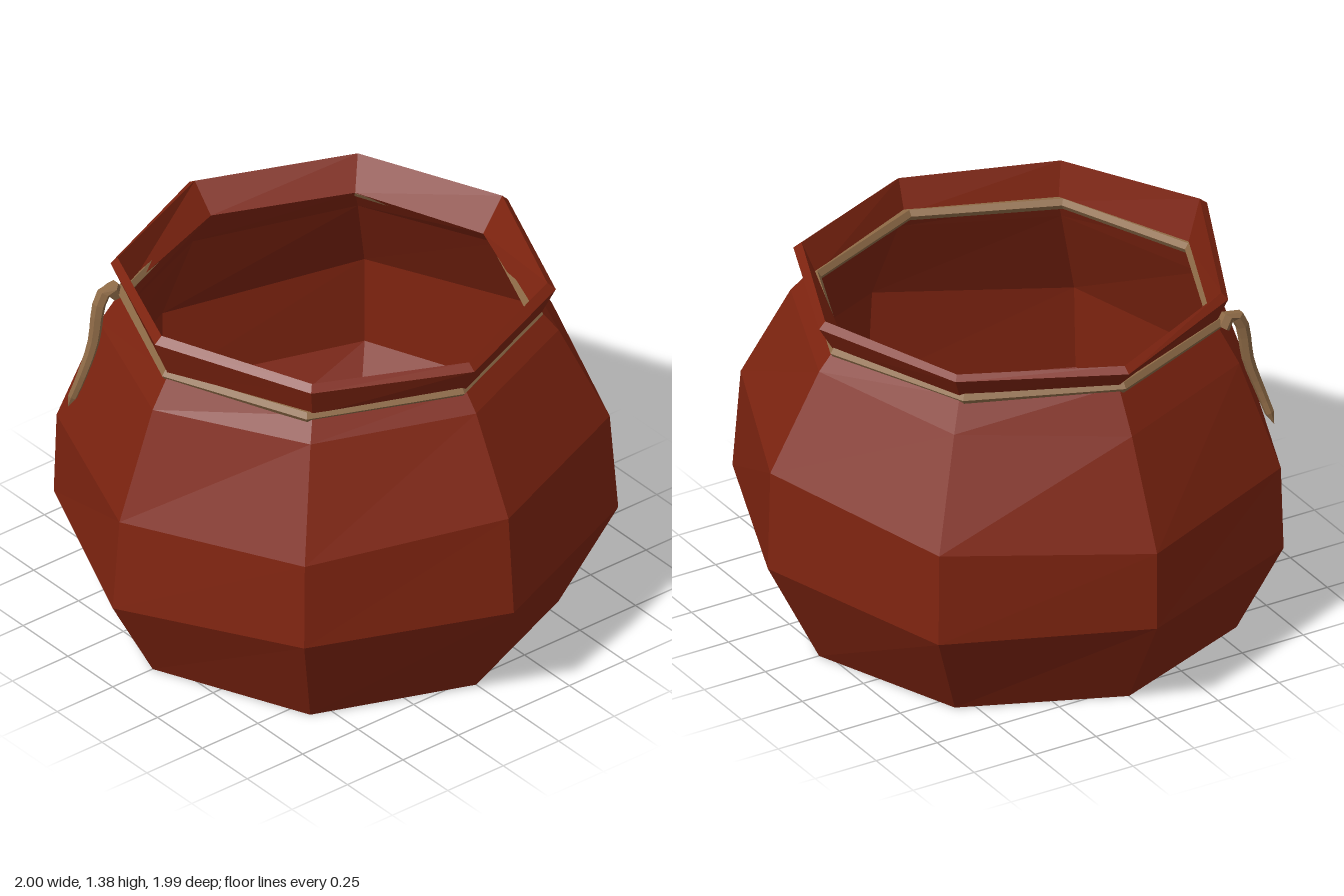
import * as THREE from 'three';

const SIDES = 8;
const clay = new THREE.MeshStandardMaterial({ color: 0x7f2410, flatShading: true });
clay.name = 'redClay';
const cord = new THREE.MeshStandardMaterial({ color: 0x8f6b47, flatShading: true });
cord.name = 'tanCord';

// One number stands for the same value at all eight corners
const fill = (v) => (Array.isArray(v) ? v : Array(SIDES).fill(v));

// Octagonal cross-section; corners run from +x through +z
function ring(radii, heights) {
  const r = fill(radii), y = fill(heights);
  return r.map((radius, k) => {
    const a = (k / SIDES) * Math.PI * 2;
    return [Math.cos(a) * radius, y[k], Math.sin(a) * radius];
  });
}

// Skin joining consecutive cross-sections
function loft(rings) {
  const index = [];
  for (let i = 0; i < rings.length - 1; i++) {
    for (let k = 0; k < SIDES; k++) {
      const n = (k + 1) % SIDES;
      const a = i * SIDES + k, b = i * SIDES + n;
      const c = a + SIDES, d = b + SIDES;
      index.push(a, c, b, b, c, d);
    }
  }
  const geo = new THREE.BufferGeometry();
  geo.setAttribute('position', new THREE.Float32BufferAttribute(rings.flat(2), 3));
  geo.setIndex(index);
  const flat = geo.toNonIndexed();
  flat.computeVertexNormals();
  return flat;
}

function addMesh(group, name, geometry, material) {
  const mesh = new THREE.Mesh(geometry, material);
  mesh.name = name;
  group.add(mesh);
}

// Pot wall: up the outside, over the lip, down the inside
function potGeometry() {
  const base = [0.79, 0.81, 0.82, 0.82, 0.81, 0.8, 0.78, 0.79];
  const lower = [1.0, 1.01, 1.0, 0.99, 1.0, 1.04, 0.99, 1.0];
  const lowerY = [0.41, 0.41, 0.33, 0.34, 0.36, 0.38, 0.41, 0.41];
  const upper = [0.97, 0.99, 0.97, 0.98, 1.0, 1.03, 0.98, 0.97];
  const upperY = [0.79, 0.74, 0.68, 0.66, 0.66, 0.73, 0.79, 0.79];
  const shoulder = [0.79, 0.8, 0.82, 0.83, 0.83, 0.81, 0.78, 0.79];
  const shoulderY = [1.14, 1.13, 1.09, 1.06, 1.05, 1.1, 1.14, 1.14];
  const neckOut = [0.73, 0.735, 0.75, 0.745, 0.74, 0.73, 0.72, 0.73];
  const lip = [0.78, 0.78, 0.81, 0.79, 0.81, 0.79, 0.78, 0.78];
  const lipY = [1.31, 1.33, 1.36, 1.31, 1.29, 1.3, 1.31, 1.31];
  const rim = [0.75, 0.755, 0.78, 0.765, 0.78, 0.77, 0.755, 0.75];
  const rimY = [1.335, 1.355, 1.385, 1.335, 1.31, 1.32, 1.335, 1.335];
  const neckIn = [0.71, 0.72, 0.73, 0.725, 0.69, 0.685, 0.67, 0.695];
  const inset = (radii) => radii.map((r) => r - 0.04);
  return loft([
    ring(0, 0), ring(base, 0), ring(lower, lowerY), ring(upper, upperY),
    ring(shoulder, shoulderY), ring(neckOut, 1.21), ring(lip, lipY), ring(rim, rimY),
    ring(neckIn, 1.21), ring(inset(shoulder), shoulderY), ring(inset(upper), upperY),
    ring(inset(lower), lowerY), ring(inset(base), 0.04), ring(0, 0.04),
  ]);
}

// Six-sided cord lying round the neck
function neckCordGeometry() {
  const rings = [];
  for (let j = 0; j <= 6; j++) {
    const a = (j / 6) * Math.PI * 2;
    rings.push(ring(0.726 + Math.cos(a) * 0.028, 1.205 + Math.sin(a) * 0.024));
  }
  return loft(rings).translate(-0.01, 0, 0.015);
}

// Loose cord end looping over the neck cord, tapering to a closed tip
function cordTailGeometry() {
  const curve = new THREE.CatmullRomCurve3([
    [-0.535, 1.19, 0.55], [-0.532, 1.24, 0.585], [-0.535, 1.19, 0.625],
    [-0.535, 1.03, 0.655], [-0.55, 0.89, 0.7], [-0.578, 0.77, 0.735],
  ].map((p) => new THREE.Vector3(...p)));
  const steps = 12, around = 6;
  const geo = new THREE.TubeGeometry(curve, steps, 0.027, around, false);
  const pos = geo.attributes.position, v = new THREE.Vector3();
  for (let i = 0; i <= steps; i++) {
    const centre = curve.getPointAt(Math.min(i, steps) / steps);
    const scale = i === steps ? 0.02 : 1 - 0.4 * (i / steps);
    for (let j = 0; j <= around; j++) {
      const n = i * (around + 1) + j;
      v.fromBufferAttribute(pos, n).sub(centre).multiplyScalar(scale).add(centre);
      pos.setXYZ(n, v.x, v.y, v.z);
    }
  }
  geo.computeVertexNormals();
  return geo;
}

export function createModel() {
  const model = new THREE.Group();
  model.name = 'clayPot';
  addMesh(model, 'potBody', potGeometry(), clay);
  addMesh(model, 'neckCord', neckCordGeometry(), cord);
  addMesh(model, 'cordTail', cordTailGeometry(), cord);
  return model;
}
